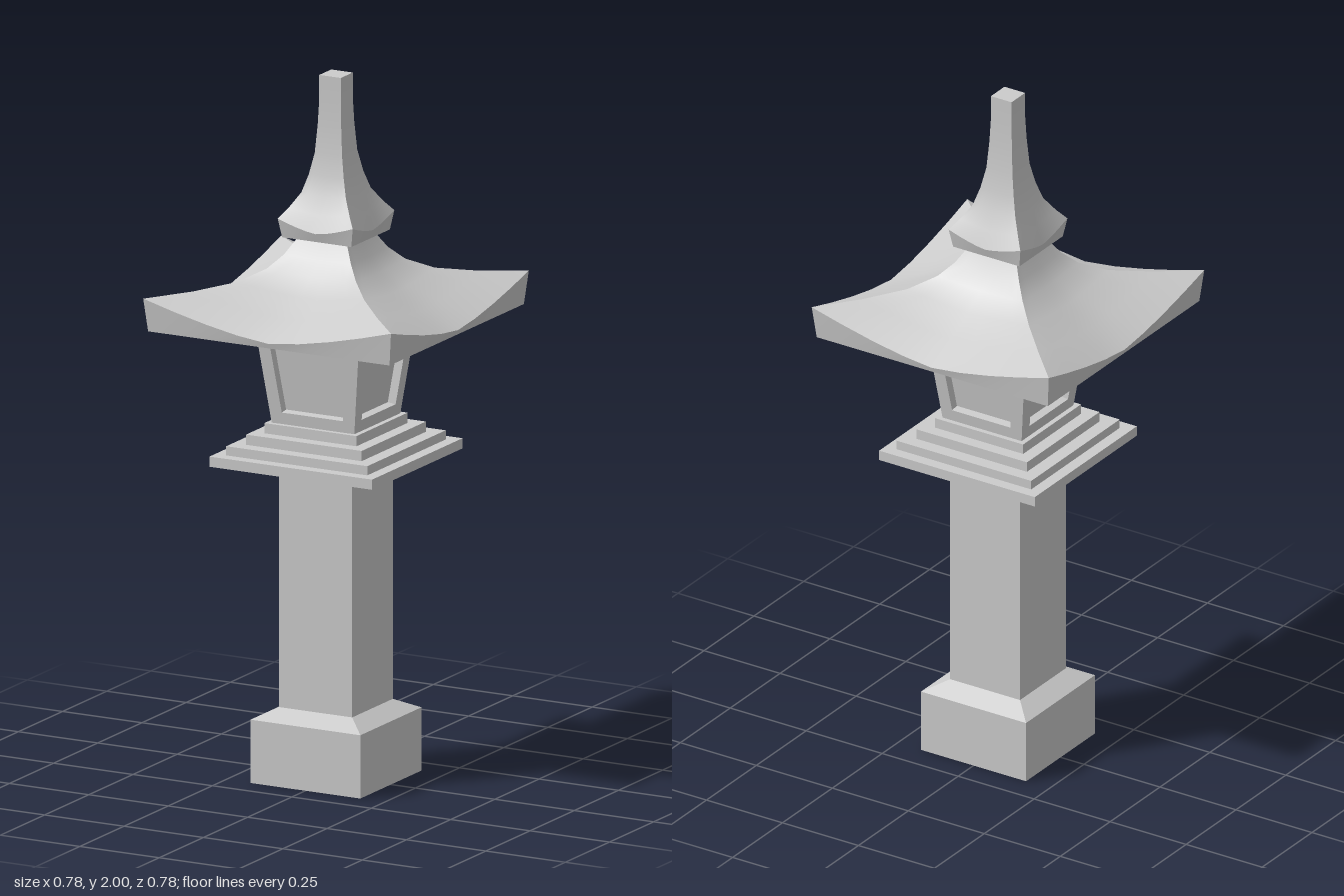
import * as THREE from 'three';
import { mergeGeometries } from 'three/addons/utils/BufferGeometryUtils.js';

const stone = new THREE.MeshStandardMaterial({ color: 0xcccccc });

// One side of a square section, rows of [half width, height, sag at mid side],
// smooth within the panel, then repeated on all four sides.
function squarePanel(rows, seg) {
  const pos = [], index = [];
  rows.forEach(([half, y, sag = 0], j) => {
    for (let i = 0; i <= seg; i++) {
      const u = (2 * i) / seg - 1;
      const drop = sag * (1 - Math.abs(u) ** 1.4);
      pos.push(half * u, y - drop, half - drop * 0.07);
      if (i < seg && j < rows.length - 1) {
        const a = j * (seg + 1) + i, d = a + seg + 1;
        index.push(a, a + 1, d + 1, a, d + 1, d);
      }
    }
  });
  const side = new THREE.BufferGeometry();
  side.setAttribute('position', new THREE.Float32BufferAttribute(pos, 3));
  side.setIndex(index);
  side.computeVertexNormals();
  return mergeGeometries([0, 1, 2, 3].map(k => side.clone().rotateY(k * Math.PI / 2)));
}

// Several panels stacked with sharp edges between them
function squareStack(name, panels, seg = 1) {
  const mesh = new THREE.Mesh(mergeGeometries(panels.map(p => squarePanel(p, seg))), stone);
  mesh.name = name;
  return mesh;
}

// Closed solid with flat faces through [half width, height] points
function squareSolid(name, points) {
  const last = points[points.length - 1];
  const all = [[0, points[0][1]], ...points, [0, last[1]]];
  return squareStack(name, all.slice(1).map((p, i) => [all[i], p]));
}

// Flared roof: flat underside, fascia with upswept corners, concave slopes, flat top
function flaredRoof(name, underside, slope) {
  const top = slope[slope.length - 1];
  return squareStack(name, [
    [[0, underside[1]], underside],
    [underside, slope[0]],
    slope,
    [top, [0, top[1]]],
  ], 8);
}

function trapezoid(target, y0, half0, y1, half1) {
  target.moveTo(-half0, y0);
  target.lineTo(half0, y0);
  target.lineTo(half1, y1);
  target.lineTo(-half1, y1);
  target.closePath();
  return target;
}

// Lamp chamber: solid core behind four leaning window frames
function lampChamber() {
  const group = new THREE.Group();
  group.name = 'lampChamber';
  const bottom = 1.02, height = 0.285, half0 = 0.13, half1 = 0.165, depth = 0.025;
  const slant = Math.hypot(height, half1 - half0);
  const shape = trapezoid(new THREE.Shape(), 0, half0, slant, half1);
  shape.holes.push(trapezoid(new THREE.Path(), 0.035, 0.096, 0.256, 0.124));
  const frame = new THREE.ExtrudeGeometry(shape, { depth, bevelEnabled: false });
  frame.translate(0, 0, -depth);
  frame.rotateX(Math.atan2(half1 - half0, height));
  frame.translate(0, bottom, half0);
  for (let k = 0; k < 4; k++) {
    const mesh = new THREE.Mesh(frame, stone);
    mesh.name = 'windowFrame';
    mesh.rotation.y = k * Math.PI / 2;
    group.add(mesh);
  }
  group.add(squareSolid('chamberCore', [
    [half0 - depth, bottom], [half1 - depth, bottom + height],
  ]));
  return group;
}

export function createModel() {
  const model = new THREE.Group();
  model.name = 'stoneLantern';

  // Foot and post
  model.add(squareSolid('foot', [[0.173, 0], [0.173, 0.18], [0.115, 0.21]]));
  model.add(squareSolid('post', [[0.115, 0.2], [0.115, 0.89]]));

  // Stepped platform with bevelled underside
  model.add(squareSolid('platform', [
    [0.16, 0.88], [0.256, 0.908], [0.256, 0.937],
    [0.222, 0.937], [0.222, 0.963],
    [0.182, 0.963], [0.182, 0.992],
    [0.145, 0.992], [0.145, 1.021],
  ]));

  model.add(lampChamber());

  // Main roof
  model.add(flaredRoof('roof', [0.38, 1.306], [
    [0.39, 1.4, 0.08], [0.29, 1.41, 0.045], [0.2, 1.428, 0.02],
    [0.14, 1.46, 0.008], [0.105, 1.497, 0.003], [0.073, 1.55],
  ]));

  // Small upper roof drawn up into a spire
  model.add(flaredRoof('spire', [0.109, 1.546], [
    [0.118, 1.6, 0.03], [0.095, 1.63, 0.012], [0.07, 1.67, 0.004],
    [0.055, 1.72], [0.043, 1.78], [0.037, 1.86], [0.034, 1.93], [0.034, 2],
  ]));

  return model;
}
